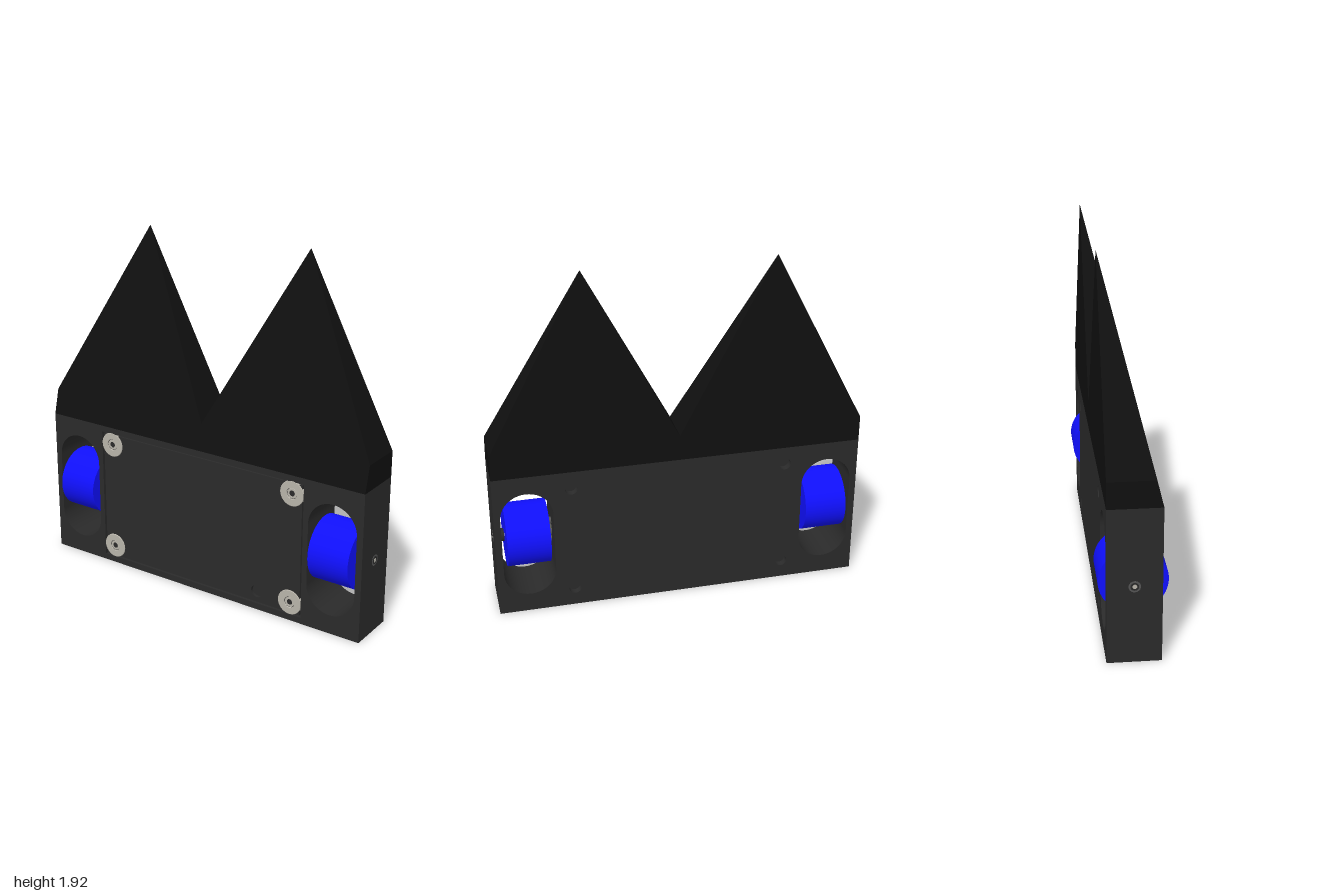
import * as THREE from 'three';

const HALF_DEPTH = 0.136, AXLE_Y = 0.415;
const mat = (color) => new THREE.MeshStandardMaterial({ color });

const poly = (pts) => new THREE.Shape(pts.map(([x, y]) => new THREE.Vector2(x, y)));
const rect = (x0, y0, x1, y1) => poly([[x0, y0], [x1, y0], [x1, y1], [x0, y1]]);
const circle = (x, y, r) => new THREE.Path().absarc(x, y, r, 0, Math.PI * 2, true);

// Upright rounded slot
function slot(x, y0, y1, r) {
  const p = new THREE.Path();
  p.absarc(x, y1 - r, r, 0, Math.PI, false);
  p.absarc(x, y0 + r, r, Math.PI, Math.PI * 2, false);
  p.closePath();
  return p;
}

// Flat slab between two z values, with holes
function slab(shape, holes, z0, z1) {
  shape.holes.push(...holes);
  return new THREE.ExtrudeGeometry(shape, { depth: z1 - z0, bevelEnabled: false, curveSegments: 24 })
    .translate(0, 0, z0);
}

export function createModel() {
  const model = new THREE.Group();
  const black = mat(0x2a2a2a), wedgeBlack = mat(0x101010), blue = mat(0x1010ff);
  const steel = mat(0xb8b4aa), darkSteel = mat(0x555555), gold = mat(0xd9a010);

  const add = (name, geometry, material, parent = model) => {
    const mesh = new THREE.Mesh(geometry, material);
    mesh.name = name;
    parent.add(mesh);
    return mesh;
  };
  // Cylinder along x, between x0 and x1
  const rod = (name, r, x0, x1, y, material, parent, sides = 32) =>
    add(name, new THREE.CylinderGeometry(r, r, x1 - x0, sides).rotateZ(Math.PI / 2)
      .translate((x0 + x1) / 2, y, 0), material, parent);

  const corners = [];
  for (const x of [-0.585, 0.585]) for (const y of [0.105, 0.725]) corners.push([x, y]);
  const slots = () => [-0.825, 0.825].map((x) => slot(x, 0.105, 0.725, 0.14));
  const bolts = (r) => corners.map(([x, y]) => circle(x, y, r));

  // Chassis: solid back plate and a front frame round the electronics bay
  add('backPlate', slab(rect(-1, 0, 1, 0.825), [...slots(), ...bolts(0.033)], -HALF_DEPTH, -0.1), black);
  add('frontFrame', slab(rect(-1, 0, 1, 0.825),
    [...slots(), rect(-0.655, 0.035, 0.655, 0.79)], -0.1, HALF_DEPTH), black);

  // Lid with a switch hole
  add('lid', slab(rect(-0.645, 0.043, 0.645, 0.782), [circle(0.38, 0.105, 0.035)], 0.1, 0.132), black);
  add('switchFloor', new THREE.CircleGeometry(0.04, 24).translate(0.38, 0.105, 0.115), black);

  // Corner bolts: dished washer heads with a socket, and the bolt ends behind
  const headProfile = [[0, 0.128], [0.016, 0.128], [0.016, 0.133], [0.028, 0.133], [0.03, 0.131],
    [0.032, 0.137], [0.068, 0.137], [0.07, 0.135], [0.07, 0.12]].reverse()
    .map(([r, z]) => new THREE.Vector2(r, z));
  corners.forEach(([x, y]) => {
    add('lidBolt', new THREE.LatheGeometry(headProfile, 32).rotateX(Math.PI / 2).translate(x, y, 0),
      new THREE.MeshStandardMaterial({ color: 0xb8b4aa, side: THREE.DoubleSide, flatShading: true }));
    add('boltEnd', new THREE.CylinderGeometry(0.034, 0.034, 0.2, 24).rotateX(Math.PI / 2)
      .translate(x, y, 0), black);
  });

  // Twin-peaked wedge: front vertices lie on a plane sloping back to the tips
  const wedge = slab(poly([[-1, 0.825], [1, 0.825], [1, 0.965], [0.5, 1.925], [0, 0.965],
    [-0.5, 1.925], [-1, 0.965]]), [], -HALF_DEPTH, HALF_DEPTH);
  const p = wedge.attributes.position;
  for (let i = 0; i < p.count; i++) {
    if (p.getZ(i) > 0) p.setZ(i, HALF_DEPTH - (p.getY(i) - 0.825) * (2 * HALF_DEPTH - 0.001) / 1.1);
  }
  wedge.computeVertexNormals();
  add('wedge', wedge, wedgeBlack);

  // Drive units, one on each side
  for (const side of [1, -1]) {
    const drive = new THREE.Group();
    drive.name = side > 0 ? 'leftDrive' : 'rightDrive';
    drive.rotation.y = side > 0 ? 0 : Math.PI;
    model.add(drive);
    rod('wheel', 0.172, 0.707, 0.939, AXLE_Y, blue, drive, 64);
    rod('axle', 0.016, 0.6, 0.99, AXLE_Y, steel, drive);
    rod('innerHub', 0.035, 0.68, 0.7, AXLE_Y, darkSteel, drive);
    rod('outerSpacer', 0.035, 0.942, 0.968, AXLE_Y, black, drive);
    for (const dy of [-0.055, 0.055]) rod('motorScrew', 0.02, 0.68, 0.7, AXLE_Y + dy, darkSteel, drive, 16);
    rod('gearbox', 0.085, 0.3, 0.654, AXLE_Y, gold, drive);
    // Axle bolt seen in the outer wall
    rod('axleBolt', 0.03, 0.97, 1.001, AXLE_Y, darkSteel, drive, 24);
    rod('axleBoltSocket', 0.021, 0.97, 1.0015, AXLE_Y, black, drive, 24);
    rod('axleTip', 0.012, 0.97, 1.002, AXLE_Y, steel, drive, 16);
  }
  return model;
}
